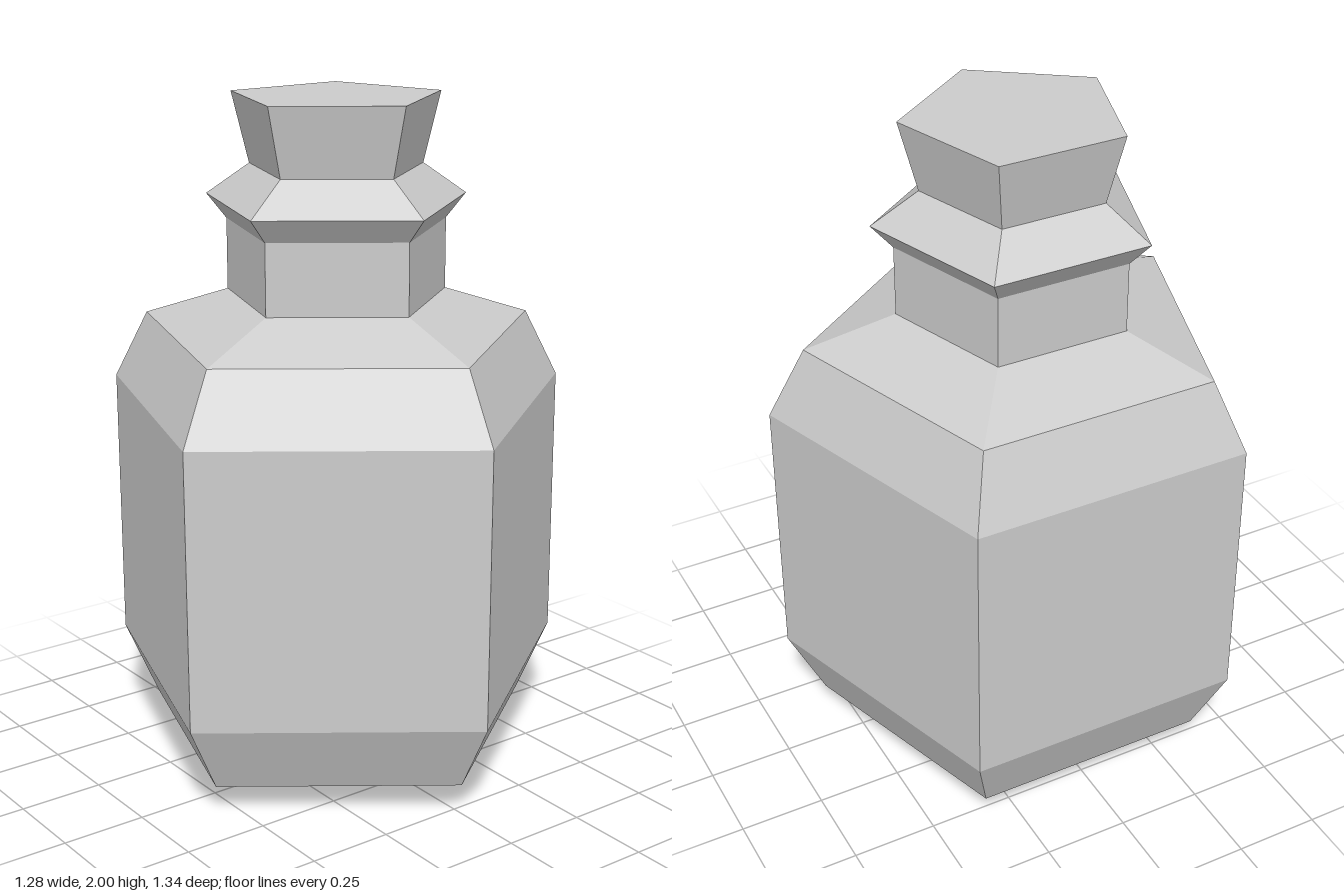
import * as THREE from 'three';

const SIDES = 5;
const AXIS_X = -0.068; // pentagon axis, so the bounding box is centred on x = 0

export function createModel() {
  const group = new THREE.Group();
  group.name = 'bottle';
  const material = new THREE.MeshStandardMaterial({ color: 0xcccccc, flatShading: true });

  // Five-sided part turned from a [radius, height] profile, bottom to top, one corner facing +x
  function addPart(name, profile) {
    const points = profile.map(([r, y]) => new THREE.Vector2(r, y));
    const mesh = new THREE.Mesh(new THREE.LatheGeometry(points, SIDES, Math.PI / 2), material);
    mesh.name = name;
    mesh.position.x = AXIS_X;
    group.add(mesh);
  }

  // Closed base, chamfered walls and sloping shoulder
  addPart('body', [[0, 0], [0.338, 0], [0.6, 0.09], [0.707, 0.3], [0.707, 1.125], [0.6, 1.33], [0.338, 1.42]]);

  // Straight neck
  addPart('neck', [[0.338, 1.42], [0.338, 1.63]]);

  // Flared lip
  addPart('lip', [[0.338, 1.63], [0.4, 1.7], [0.265, 1.795]]);

  // Stopper widening to a flat top
  addPart('stopper', [[0.265, 1.795], [0.318, 2], [0, 2]]);

  return group;
}
